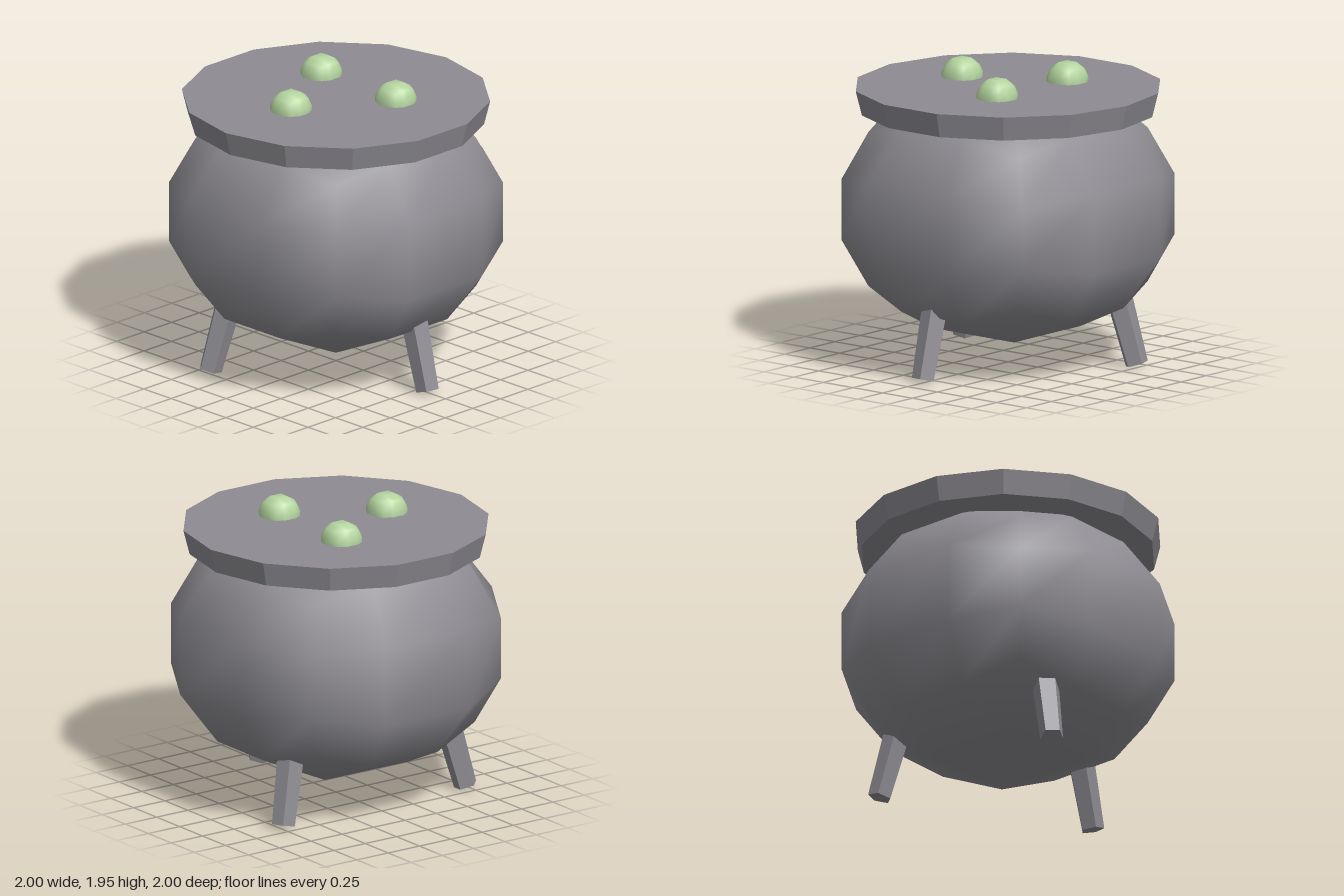
import * as THREE from 'three';
import { mergeVertices } from 'three/addons/utils/BufferGeometryUtils.js';

// Cube with 3 segments per side, pushed out to a sphere whose flat faces sit at distance 1
function cubeSphere() {
  let geo = new THREE.BoxGeometry(2, 2, 2, 3, 3, 3);
  geo.deleteAttribute('uv');
  geo.deleteAttribute('normal');
  geo = mergeVertices(geo);
  const pos = geo.attributes.position;
  const v = new THREE.Vector3();
  for (let i = 0; i < pos.count; i++) {
    v.fromBufferAttribute(pos, i).setLength(Math.sqrt(11) / 3);
    pos.setXYZ(i, v.x, v.y, v.z);
  }
  return geo;
}

function addMesh(parent, name, geo, mat) {
  const mesh = new THREE.Mesh(geo, mat);
  mesh.name = name;
  parent.add(mesh);
  return mesh;
}

// Flat-faced copy of a geometry, so one iron material serves smooth and faceted parts
function faceted(geo) {
  const flat = geo.toNonIndexed();
  flat.computeVertexNormals();
  return flat;
}

export function createModel() {
  const model = new THREE.Group();
  model.name = 'cauldron';
  const iron = new THREE.MeshStandardMaterial({ name: 'iron grey', color: 0x8e8c92 });
  const brew = new THREE.MeshStandardMaterial({ name: 'brew green', color: 0xb5d6a0 });

  // Squashed round pot
  const potGeo = cubeSphere().scale(1, 0.795, 1);
  potGeo.computeVertexNormals();
  addMesh(model, 'pot', potGeo, iron).position.y = 1.025;

  // Fourteen-sided rim, wider at the top
  const rimGeo = faceted(new THREE.CylinderGeometry(1, 0.96, 0.16, 14));
  addMesh(model, 'rim', rimGeo, iron).position.y = 1.745;

  // Bubbles half sunk in the top
  const bubbleGeo = cubeSphere().scale(0.125, 0.125, 0.125);
  bubbleGeo.computeVertexNormals();
  for (const [x, z] of [[-0.345, -0.21], [0.345, -0.2], [-0.012, 0.397]]) {
    addMesh(model, 'bubble', bubbleGeo, brew).position.set(x, 1.825, z);
  }

  // Three splayed five-sided legs, pivoting at the foot
  const legGeo = faceted(new THREE.CylinderGeometry(0.095, 0.078, 0.6, 5, 1, false, THREE.MathUtils.degToRad(39)));
  legGeo.translate(0, 0.3, 0);
  for (let i = 0; i < 3; i++) {
    const pivot = new THREE.Group();
    pivot.name = 'legPivot';
    pivot.rotation.y = (i * Math.PI * 2) / 3;
    const leg = addMesh(pivot, 'leg', legGeo, iron);
    leg.position.set(0.84, 0.021, 0);
    leg.rotation.z = THREE.MathUtils.degToRad(15);
    model.add(pivot);
  }
  return model;
}
